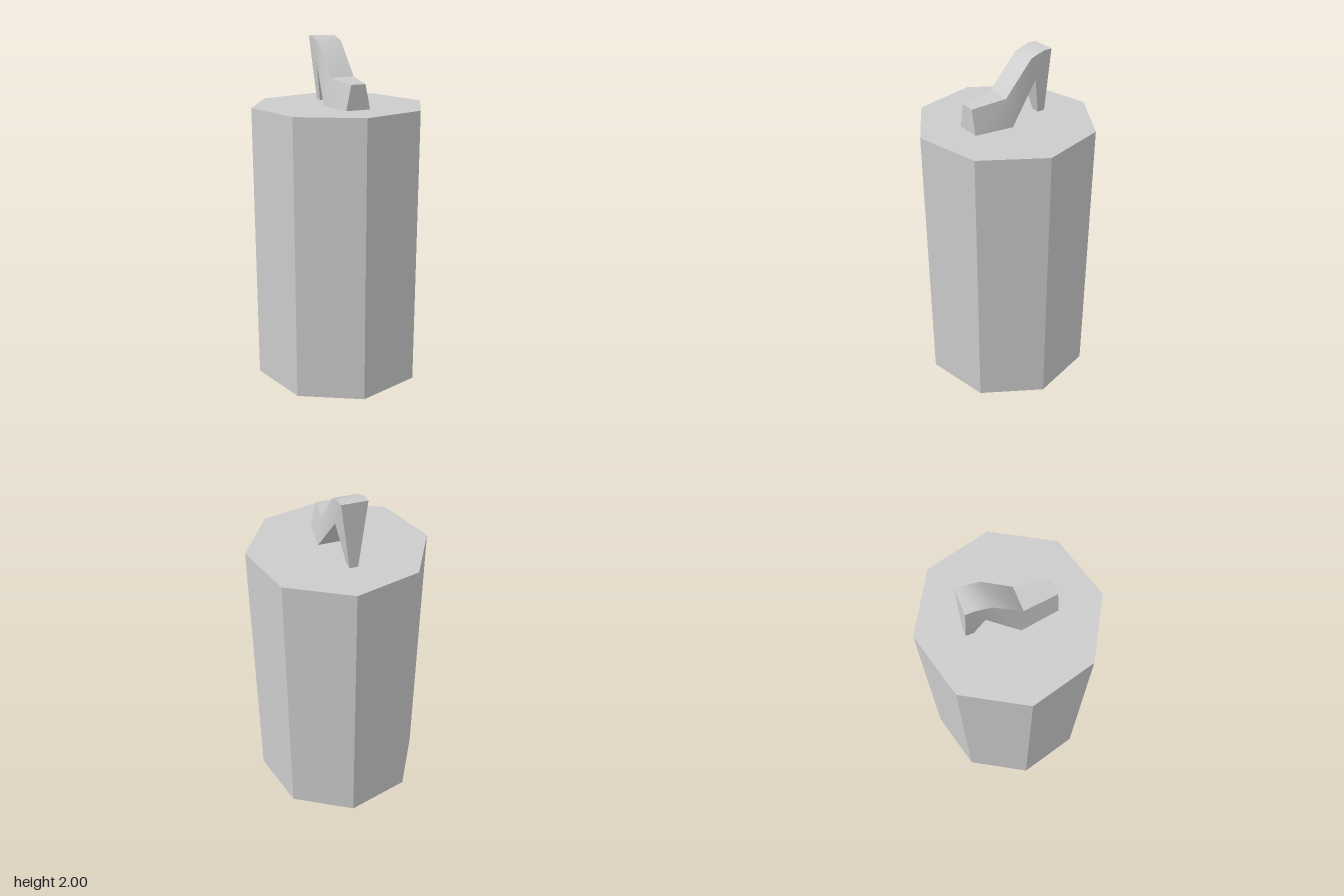
import * as THREE from 'three';
import { toCreasedNormals } from 'three/addons/utils/BufferGeometryUtils.js';

const RADIUS = 0.507, TOP = 1.625;

// Side outline of the shoe, counter-clockwise: [along, height, half width]
const OUTLINE = [
  [-0.25, TOP, 0.024],   // 0 heel tip, back
  [-0.205, TOP, 0.024],  // 1 heel tip, front
  [-0.15, 1.845, 0.068], // 2 top of the arch
  [0.027, TOP, 0.104],   // 3 ball of the sole
  [0.25, TOP, 0.073],    // 4 toe, bottom
  [0.25, 1.765, 0.043],  // 5 toe, top
  [0.05, 1.785, 0.072],  // 6 foot of the slope
  [-0.116, 1.973, 0.072],// 7 head of the slope
  [-0.2, 2.0, 0.072],    // 8 rounded shoulder
  [-0.25, 2.0, 0.072],   // 9 back, top
];
const SIDE = [[0, 1, 2], [0, 2, 9], [9, 2, 8], [8, 2, 7], [2, 3, 7], [7, 3, 6], [3, 4, 6], [4, 5, 6]];

function shoeGeometry() {
  const n = OUTLINE.length;
  const positions = [];
  for (const s of [1, -1]) for (const [x, y, w] of OUTLINE) positions.push(x, y, s * w);
  const index = [];
  // mirrored side walls
  for (const [a, b, c] of SIDE) index.push(a, b, c, n + a, n + c, n + b);
  // strip joining the two sides around the outline
  for (let i = 0; i < n; i++) {
    const j = (i + 1) % n;
    index.push(i, n + i, n + j, i, n + j, j);
  }
  const geometry = new THREE.BufferGeometry();
  geometry.setAttribute('position', new THREE.Float32BufferAttribute(positions, 3));
  geometry.setIndex(index);
  return toCreasedNormals(geometry, 0.6);
}

export function createModel() {
  const group = new THREE.Group();
  const flat = new THREE.MeshStandardMaterial({ color: 0xcccccc, flatShading: true, side: THREE.DoubleSide });
  const smooth = new THREE.MeshStandardMaterial({ color: 0xcccccc });

  // Eight-sided pedestal wall, open underneath
  const wall = new THREE.Mesh(new THREE.CylinderGeometry(RADIUS, RADIUS, TOP, 8, 1, true), flat);
  wall.name = 'pedestalWall';
  wall.position.y = TOP / 2;

  // Pedestal top plate
  const plate = new THREE.Mesh(new THREE.CircleGeometry(RADIUS, 8).rotateX(-Math.PI / 2), flat);
  plate.name = 'pedestalTop';
  plate.position.y = TOP;

  // High-heeled shoe, turned diagonally on the pedestal
  const shoe = new THREE.Mesh(shoeGeometry(), smooth);
  shoe.name = 'highHeelShoe';
  shoe.rotation.y = -0.636;

  group.add(wall, plate, shoe);
  return group;
}
